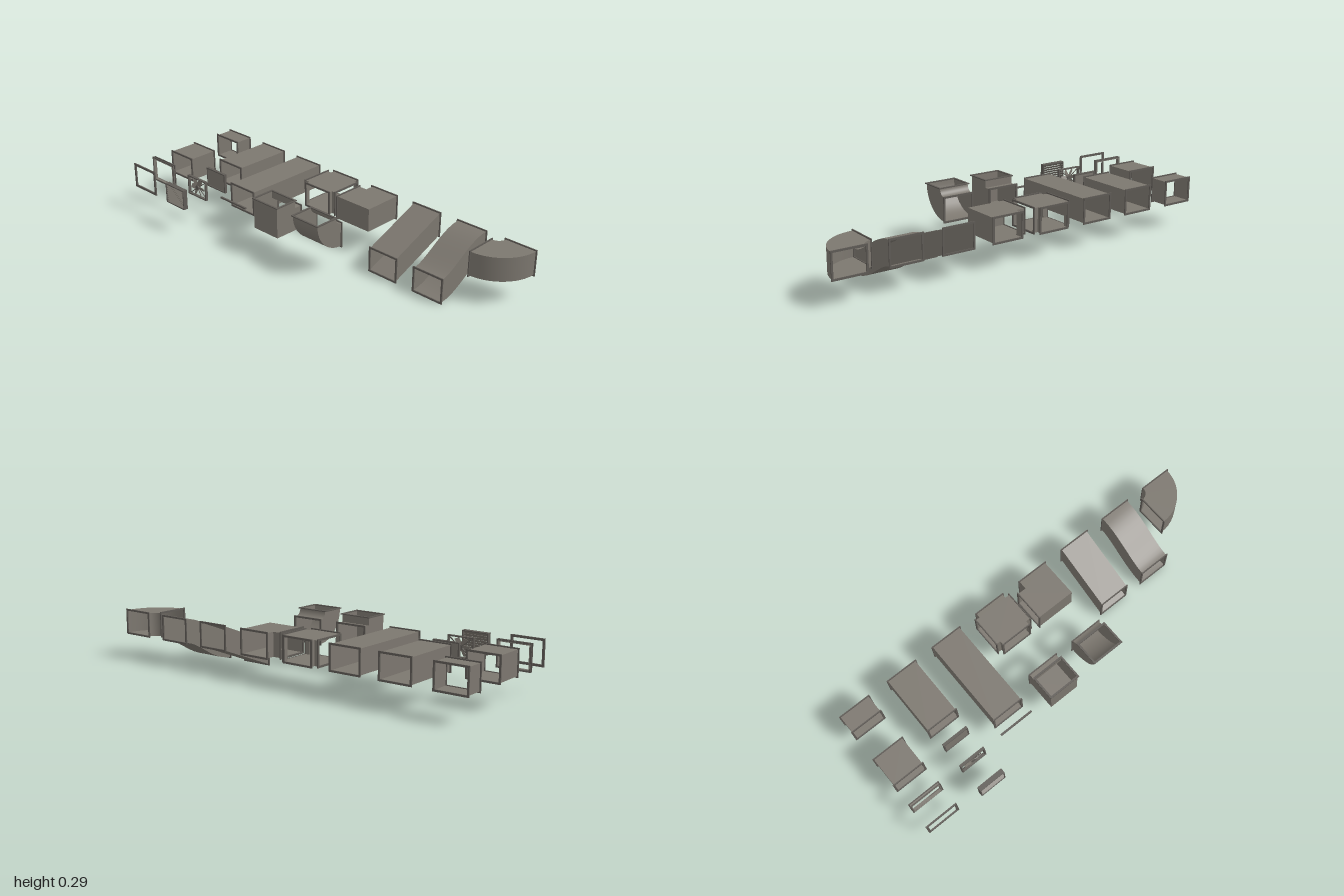
import * as THREE from 'three';

const W = 0.156, H = 0.117, Y = 0.1865, LIP = 0.006;
const V = (x, y, z) => new THREE.Vector3(x, y, z);

export function createModel() {
  const root = new THREE.Group();
  const sheet = new THREE.MeshStandardMaterial({ color: 0x7c776f, side: THREE.DoubleSide });
  sheet.name = 'sheet metal';
  const rim = new THREE.MeshStandardMaterial({ color: 0x5f5b56 });
  rim.name = 'dark flange metal';

  function add(parent, name, geo, mat, x = 0, y = 0, z = 0) {
    const m = new THREE.Mesh(geo, mat);
    m.name = name;
    m.position.set(x, y, z);
    parent.add(m);
    return m;
  }
  function group(name) {
    const g = new THREE.Group();
    g.name = name;
    root.add(g);
    return g;
  }

  // Rectangular ring, centred on the origin, facing z
  function ring(w, h, band, depth) {
    const s = new THREE.Shape();
    s.moveTo(-w / 2, -h / 2).lineTo(w / 2, -h / 2).lineTo(w / 2, h / 2).lineTo(-w / 2, h / 2).closePath();
    const a = w / 2 - band, b = h / 2 - band, hole = new THREE.Path();
    hole.moveTo(-a, -b).lineTo(-a, b).lineTo(a, b).lineTo(a, -b).closePath();
    s.holes.push(hole);
    return new THREE.ExtrudeGeometry(s, { depth, bevelEnabled: false }).translate(0, 0, -depth / 2);
  }

  // Cross-section: centre p, half-axes u and v
  const section = (p, u, v) => ({ p, u, v });
  const upright = (x, y, z) => section(V(x, y, z), V(W / 2, 0, 0), V(0, H / 2, 0));

  function flange(parent, s) {
    const w = s.u.length() * 2, h = s.v.length() * 2;
    const m = add(parent, 'flange', ring(w + 2 * LIP, h + 2 * LIP, LIP + 0.003, 0.005), rim);
    const a = s.u.clone().normalize(), b = s.v.clone().normalize();
    m.quaternion.setFromRotationMatrix(new THREE.Matrix4().makeBasis(a, b, a.clone().cross(b)));
    m.position.copy(s.p);
  }

  // Four walls through a row of sections, smooth along the run only
  function duct(name, sections, flat = false) {
    const g = group(name), corners = [[-1, -1], [1, -1], [1, 1], [-1, 1]];
    const pos = [], idx = [], n = sections.length;
    for (let k = 0; k < 4; k++) {
      for (const s of sections) {
        for (const [a, b] of [corners[k], corners[(k + 1) % 4]]) {
          const q = s.p.clone().addScaledVector(s.u, a).addScaledVector(s.v, b);
          pos.push(q.x, q.y, q.z);
        }
      }
      for (let i = 0; i < n - 1; i++) {
        const o = (k * n + i) * 2;
        idx.push(o, o + 1, o + 3, o, o + 3, o + 2);
      }
    }
    let geo = new THREE.BufferGeometry();
    geo.setAttribute('position', new THREE.Float32BufferAttribute(pos, 3));
    geo.setIndex(idx);
    if (flat) geo = geo.toNonIndexed();
    geo.computeVertexNormals();
    add(g, 'ductWalls', geo, sheet);
    flange(g, sections[0]);
    flange(g, sections[n - 1]);
    return g;
  }

  // Straight ducts: x, back z, front z
  const straights = [
    ['shortDuct', -0.917, -0.335, -0.243], ['couplingDuct', -0.917, -0.08, 0.072],
    ['mediumDuct', -0.65, -0.335, -0.03], ['longDuct', -0.391, -0.335, 0.122],
  ];
  for (const [name, x, a, b] of straights) duct(name, [upright(x, Y, a), upright(x, Y, b)], true);

  // Sloped offset duct
  const LOW = 0.0645, BACK = -0.335, FRONT = -0.028;
  duct('slopedOffset', [upright(0.39, Y, BACK), upright(0.39, LOW, FRONT)], true);

  // S-shaped offset duct, sections square to the path
  const bend = [];
  for (let i = 0; i <= 12; i++) {
    const t = i / 12, drop = Y - LOW, run = FRONT - BACK;
    const slope = Math.atan(6 * t * (1 - t) * drop / run);
    bend.push(section(V(0.65, Y - drop * t * t * (3 - 2 * t), BACK + run * t),
      V(W / 2, 0, 0), V(0, Math.cos(slope), Math.sin(slope)).multiplyScalar(H / 2)));
  }
  duct('curvedOffset', bend);

  // Elbows: round ones follow an arc, square ones are mitred
  function elbow(name, centre, r, size, da, db, side, round) {
    const R = r + size / 2, out = [];
    const dir = (a, b) => da.clone().multiplyScalar(a).addScaledVector(db, b);
    const put = (a, b, u) => out.push(section(centre.clone().add(dir(a, b)), u.multiplyScalar(size / 2), side.clone()));
    if (round) {
      for (let i = 0; i <= 12; i++) {
        const t = i / 12 * Math.PI / 2, c = Math.cos(t), s = Math.sin(t);
        put(R * c, R * s, dir(c, s));
      }
    } else {
      put(R, 0, dir(1, 0));
      put(R, R, dir(1, 1));
      put(0, R, dir(0, 1));
    }
    duct(name, out, !round);
  }
  const X = V(1, 0, 0), Z = V(0, 0, 1), down = V(0, -1, 0);
  elbow('roundSideElbow', V(0.79, Y, BACK), 0.045, W, X, Z, V(0, H / 2, 0), true);
  elbow('squareSideElbow', V(0.005, Y, BACK), 0.045, W, X, Z, V(0, H / 2, 0), false);
  elbow('roundUpElbow', V(0.13, 0.283, 0.057), 0.038, H, down, Z, V(W / 2, 0, 0), true);
  elbow('squareUpElbow', V(-0.13, 0.283, 0.057), 0.038, H, down, Z, V(W / 2, 0, 0), false);

  // Four-way junction
  const cross = group('crossJunction'), L = 0.101, A = W / 2;
  cross.position.set(-0.131, Y, -0.236);
  for (const s of [-1, 1]) {
    add(cross, 'crossPlate', new THREE.BoxGeometry(2 * L, 0.002, W), sheet, 0, s * (H / 2 - 0.001), 0);
    for (const t of [-1, 1]) {
      add(cross, 'crossTab', new THREE.BoxGeometry(W, 0.002, L - A), sheet, 0, s * (H / 2 - 0.001), t * (L + A) / 2);
      add(cross, 'crossWall', new THREE.BoxGeometry(L - A, H, 0.002), sheet, s * (L + A) / 2, 0, t * (A - 0.001));
      add(cross, 'crossWall', new THREE.BoxGeometry(0.002, H, L - A), sheet, s * (A - 0.001), 0, t * (L + A) / 2);
    }
    flange(cross, section(V(0, 0, s * L), V(A, 0, 0), V(0, H / 2, 0)));
    flange(cross, section(V(s * L, 0, 0), V(0, 0, A), V(0, H / 2, 0)));
  }

  // Loose connecting frames
  const FW = W + 2 * LIP, FH = H + 2 * LIP;
  const joint = group('jointFrame');
  joint.position.set(-0.917, Y, 0.19);
  add(joint, 'jointSleeve', ring(W, H, 0.004, 0.018), sheet);
  for (const s of [-1, 1]) add(joint, 'jointRim', ring(FW, FH, 0.01, 0.004), rim, 0, 0, s * 0.006);
  add(root, 'thinFrame', ring(FW, FH, 0.011, 0.007), rim, -0.917, Y, 0.312);

  // Support rod
  add(root, 'supportRod', new THREE.BoxGeometry(0.18, 0.008, 0.009), rim, -0.391, Y, 0.182);

  // Filter panel
  const PW = 0.136, PH = 0.102;
  const filter = group('filterPanel');
  filter.position.set(-0.65, Y, 0.065);
  add(filter, 'filterFrame', ring(PW, PH, 0.006, 0.014), rim);
  add(filter, 'filterSheet', new THREE.BoxGeometry(PW - 0.01, PH - 0.01, 0.006), sheet);

  // Fan panel
  const fan = group('fanPanel');
  fan.position.set(-0.65, Y, 0.19);
  add(fan, 'fanFrame', ring(PW, PH, 0.006, 0.014), rim);
  add(fan, 'fanHub', new THREE.CylinderGeometry(0.012, 0.012, 0.012, 16).rotateX(Math.PI / 2), rim);
  for (let i = 0; i < 6; i++) {
    const blade = new THREE.BoxGeometry(0.038, 0.022, 0.002).rotateX(0.45).translate(0.027, 0, 0);
    add(fan, 'fanBlade', blade.rotateZ(i * Math.PI / 3), sheet);
  }
  for (const s of [-1, 1]) {
    add(fan, 'fanBrace', new THREE.BoxGeometry(0.155, 0.004, 0.003).rotateZ(s * Math.atan(PH / PW)), rim, 0, 0, -0.005);
  }

  // Louvre panel with slats falling towards the front
  const louvre = group('louvrePanel');
  louvre.position.set(-0.65, Y, 0.325);
  add(louvre, 'louvreFrame', ring(PW, PH, 0.005, 0.024), rim);
  for (let i = 0; i < 8; i++) {
    add(louvre, 'louvreSlat', new THREE.BoxGeometry(PW - 0.01, 0.0015, 0.024).rotateX(0.65), sheet, 0, (i - 3.5) * 0.0115, 0);
  }
  return root;
}
